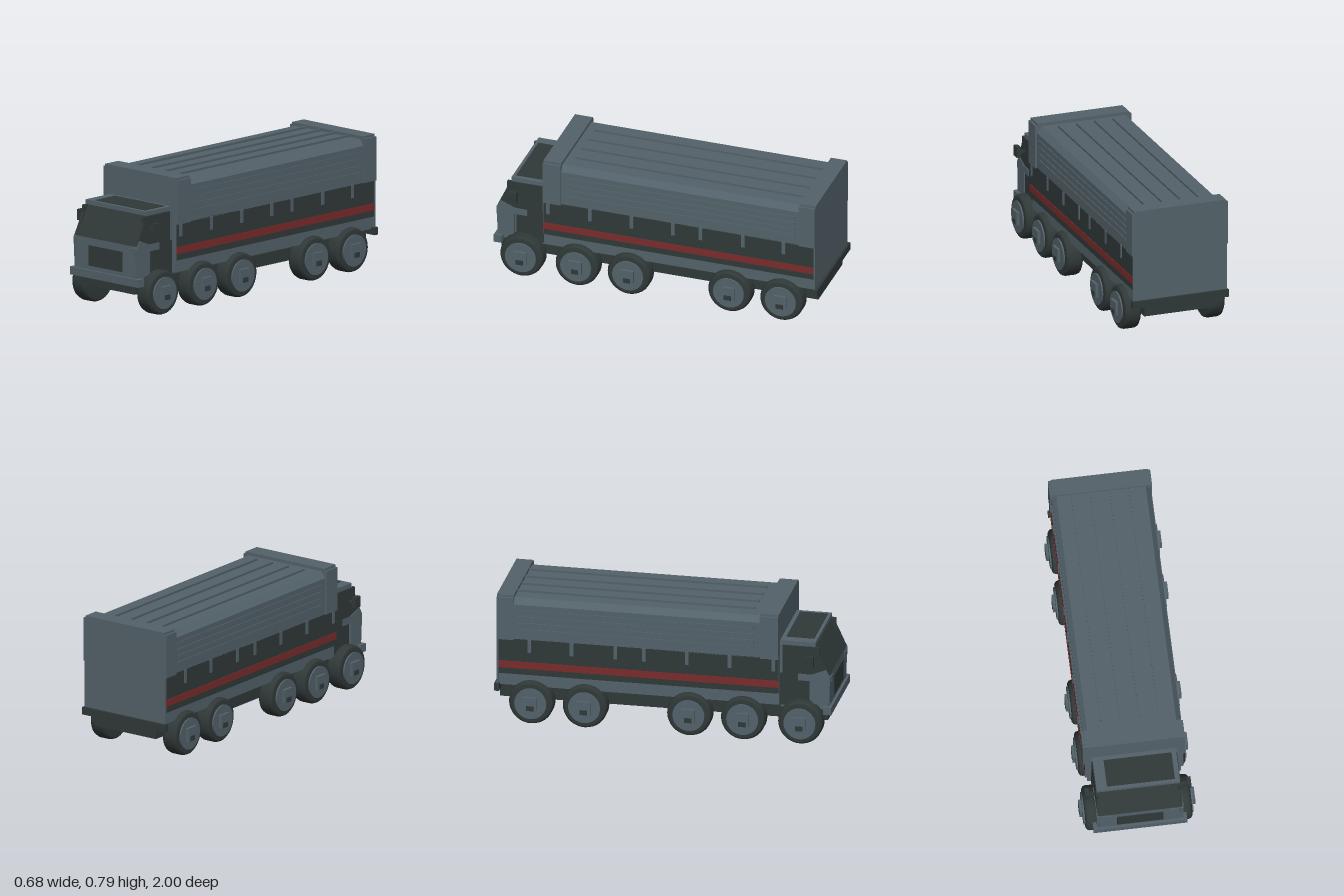
import * as THREE from 'three';

const mat = (name, color) => {
  const m = new THREE.MeshStandardMaterial({ color });
  m.name = name;
  return m;
};

export function createModel() {
  const truck = new THREE.Group();
  truck.name = 'truck';
  const grey = mat('slate grey', 0x53626a);
  const dark = mat('dark grey', 0x303938);
  const red = mat('dark red', 0x7a2b2b);

  const add = (name, geo, m, parent = truck) => {
    const mesh = new THREE.Mesh(geo, m);
    mesh.name = name;
    parent.add(mesh);
    return mesh;
  };
  // box given by its lower and upper limits on each axis
  const box = (name, m, x0, x1, y0, y1, z0, z1, parent = truck) => {
    const mesh = add(name, new THREE.BoxGeometry(x1 - x0, y1 - y0, z1 - z0), m, parent);
    mesh.position.set((x0 + x1) / 2, (y0 + y1) / 2, (z0 + z1) / 2);
    return mesh;
  };
  // the same box on both sides
  const pair = (name, m, x0, x1, ...yz) => {
    box(name, m, x0, x1, ...yz);
    box(name, m, -x1, -x0, ...yz);
  };
  const shape = (pts) => new THREE.Shape(pts.map(([a, b]) => new THREE.Vector2(a, b)));
  const extrude = (pts, depth) =>
    new THREE.ExtrudeGeometry(shape(pts), { depth, bevelEnabled: false });
  // side profile of [z, y] points, extruded from x0 to x1
  const profile = (name, m, pts, x0, x1) => {
    const geo = extrude(pts.map(([z, y]) => [-z, y]), x1 - x0);
    geo.rotateY(Math.PI / 2);
    geo.translate(x0, 0, 0);
    return add(name, geo, m);
  };

  // chassis, axles and bumpers
  box('chassis', dark, -0.22, 0.22, 0.13, 0.203, -0.98, 0.97);
  box('rearBumper', dark, -0.3, 0.3, 0.19, 0.235, -1, -0.97);
  box('frontBumper', grey, -0.275, 0.275, 0.183, 0.23, 0.95, 1);

  // wheels
  const tyreProfile = [[0, -0.052], [0.115, -0.052], [0.127, -0.044], [0.132, -0.03],
    [0.132, 0.03], [0.127, 0.044], [0.115, 0.052], [0, 0.052]]
    .map(([r, y]) => new THREE.Vector2(r, y));
  const tyreGeo = new THREE.LatheGeometry(tyreProfile, 36).rotateZ(-Math.PI / 2);
  const hubGeo = new THREE.CylinderGeometry(0.095, 0.095, 0.02, 32).rotateZ(Math.PI / 2);
  const axleGeo = new THREE.CylinderGeometry(0.015, 0.015, 0.5, 12).rotateZ(Math.PI / 2);
  for (const z of [0.82, 0.48, 0.16, -0.46, -0.78]) {
    add('axle', axleGeo, dark).position.set(0, 0.132, z);
    for (const side of [1, -1]) {
      const wheel = new THREE.Group();
      wheel.name = 'wheel';
      wheel.position.set(side * 0.261, 0.132, z);
      if (side < 0) wheel.rotation.y = Math.PI;
      add('tyre', tyreGeo, dark, wheel);
      add('hub', hubGeo, grey, wheel).position.x = 0.051;
      box('hubCap', grey, 0.05, 0.078, -0.037, 0.043, -0.04, 0.04, wheel);
      box('hubNotch', dark, 0.055, 0.08, -0.038, -0.008, -0.022, 0.022, wheel);
      truck.add(wheel);
    }
  }

  // cab
  box('cabBase', grey, -0.24, 0.24, 0.203, 0.42, 0.69, 0.985);
  profile('cabUpper', dark, [[0.69, 0.42], [0.985, 0.42], [0.888, 0.592], [0.69, 0.592]],
    -0.238, 0.238);
  box('cabRoof', grey, -0.245, 0.245, 0.592, 0.618, 0.69, 0.9);
  box('roofHatch', dark, -0.182, 0.217, 0.615, 0.621, 0.715, 0.88);
  for (const s of [1, -1]) {
    const plate = (name, m, pts, a, b) =>
      profile(name, m, pts, s > 0 ? a : -b, s > 0 ? b : -a);
    plate('cabPillar', dark, [[0.69, 0.42], [0.985, 0.42], [0.925, 0.55], [0.925, 0.59],
      [0.69, 0.59]], 0.232, 0.25);
    plate('frontCorner', grey, [[0.88, 0.24], [0.98, 0.23], [0.99, 0.41], [0.965, 0.455],
      [0.88, 0.42]], 0.235, 0.255);
  }
  pair('door', dark, 0.235, 0.253, 0.22, 0.42, 0.69, 0.865);
  pair('doorTrim', grey, 0.236, 0.256, 0.38, 0.42, 0.8, 0.89);
  pair('rearCabPost', grey, 0.232, 0.253, 0.42, 0.6, 0.69, 0.705);
  box('grille', dark, -0.135, 0.135, 0.255, 0.375, 0.982, 0.99);
  pair('headlight', grey, 0.168, 0.222, 0.37, 0.405, 0.982, 0.99);
  pair('mirrorArm', dark, 0.24, 0.29, 0.504, 0.52, 0.868, 0.884);
  pair('mirror', dark, 0.286, 0.311, 0.486, 0.551, 0.85, 0.9);

  // cargo body: skirt, painted bands and chamfered upper hull
  box('skirt', grey, -0.275, 0.275, 0.225, 0.31, -0.98, 0.69);
  box('lowerBand', dark, -0.29, 0.29, 0.3, 0.34, -0.975, 0.688);
  box('redStripe', red, -0.294, 0.294, 0.338, 0.38, -0.975, 0.688);
  box('upperBand', dark, -0.29, 0.29, 0.38, 0.52, -0.975, 0.688);
  const hull = extrude([[-0.29, 0.515], [0.29, 0.515], [0.29, 0.735], [0.262, 0.772],
    [-0.262, 0.772], [-0.29, 0.735]], 1.5);
  add('upperHull', hull, grey).position.z = -0.9;

  // raised end frames and flat end walls
  const frame = [[-0.3, 0.515], [0.3, 0.515], [0.3, 0.777], [0.286, 0.777], [0.286, 0.791],
    [-0.286, 0.791], [-0.286, 0.777], [-0.3, 0.777]];
  add('frontFrame', extrude(frame, 0.11), grey).position.z = 0.58;
  add('rearFrame', extrude(frame, 0.1), grey).position.z = -0.985;
  box('rearWall', grey, -0.292, 0.292, 0.23, 0.52, -0.985, -0.974);
  box('frontWall', grey, -0.288, 0.288, 0.3, 0.52, 0.686, 0.692);

  // roof ribs, side ribs and short posts
  for (const x of [-0.17, -0.057, 0.057, 0.17])
    box('roofRib', grey, x - 0.008, x + 0.008, 0.768, 0.785, -0.89, 0.53);
  for (const y of [0.57, 0.61, 0.65, 0.69])
    pair('sideRib', grey, 0.285, 0.295, y, y + 0.014, -0.86, 0.54);
  for (const z of [0.66, 0.4, 0.145, -0.11, -0.28, -0.54, -0.79])
    pair('sidePost', grey, 0.28, 0.296, 0.44, 0.52, z - 0.011, z + 0.011);

  return truck;
}
